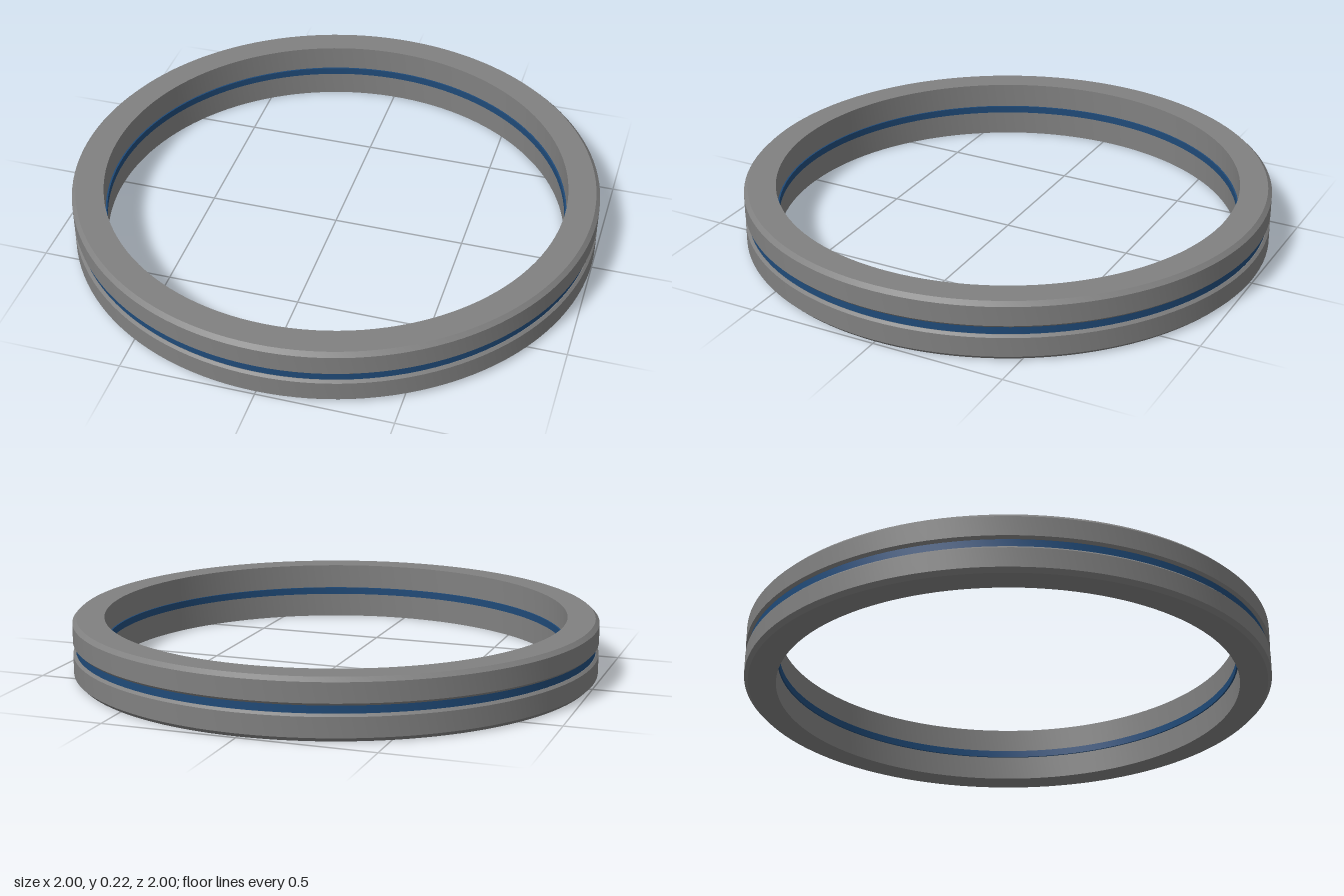
import * as THREE from 'three';
import { toCreasedNormals } from 'three/addons/utils/BufferGeometryUtils.js';

const HEIGHT = 0.222, INNER = 0.88, OUTER = 1, SEGMENTS = 128;

// Revolve a closed profile of [radius, y] corners, keeping its edges sharp
function ring(name, corners, material) {
  const points = [...corners, corners[0]].map(([r, y]) => new THREE.Vector2(r, y));
  const geometry = toCreasedNormals(new THREE.LatheGeometry(points, SEGMENTS), 0.4);
  const mesh = new THREE.Mesh(geometry, material);
  mesh.name = name;
  return mesh;
}

export function createModel() {
  const group = new THREE.Group();
  group.name = 'bandRing';
  const grey = new THREE.MeshStandardMaterial({ color: 0x808080 });
  const blue = new THREE.MeshStandardMaterial({ color: 0x1f4a78 });

  // Lower half: square inner edge, chamfered outer edges
  const top = 0.097, bevel = 0.015, grooveBevel = 0.009;
  const half = [
    [INNER, 0],
    [OUTER - bevel, 0],
    [OUTER, bevel],
    [OUTER, top - grooveBevel],
    [OUTER - grooveBevel, top],
    [INNER, top],
  ];
  group.add(ring('lowerRing', half, grey));

  // Upper half mirrors the lower one
  const mirrored = half.map(([r, y]) => [r, HEIGHT - y]).reverse();
  group.add(ring('upperRing', mirrored, grey));

  // Coloured band between the halves, slightly proud on the inside
  group.add(ring('middleBand', [
    [INNER - 0.006, top],
    [OUTER - 0.011, top],
    [OUTER - 0.011, HEIGHT - top],
    [INNER - 0.006, HEIGHT - top],
  ], blue));

  return group;
}
